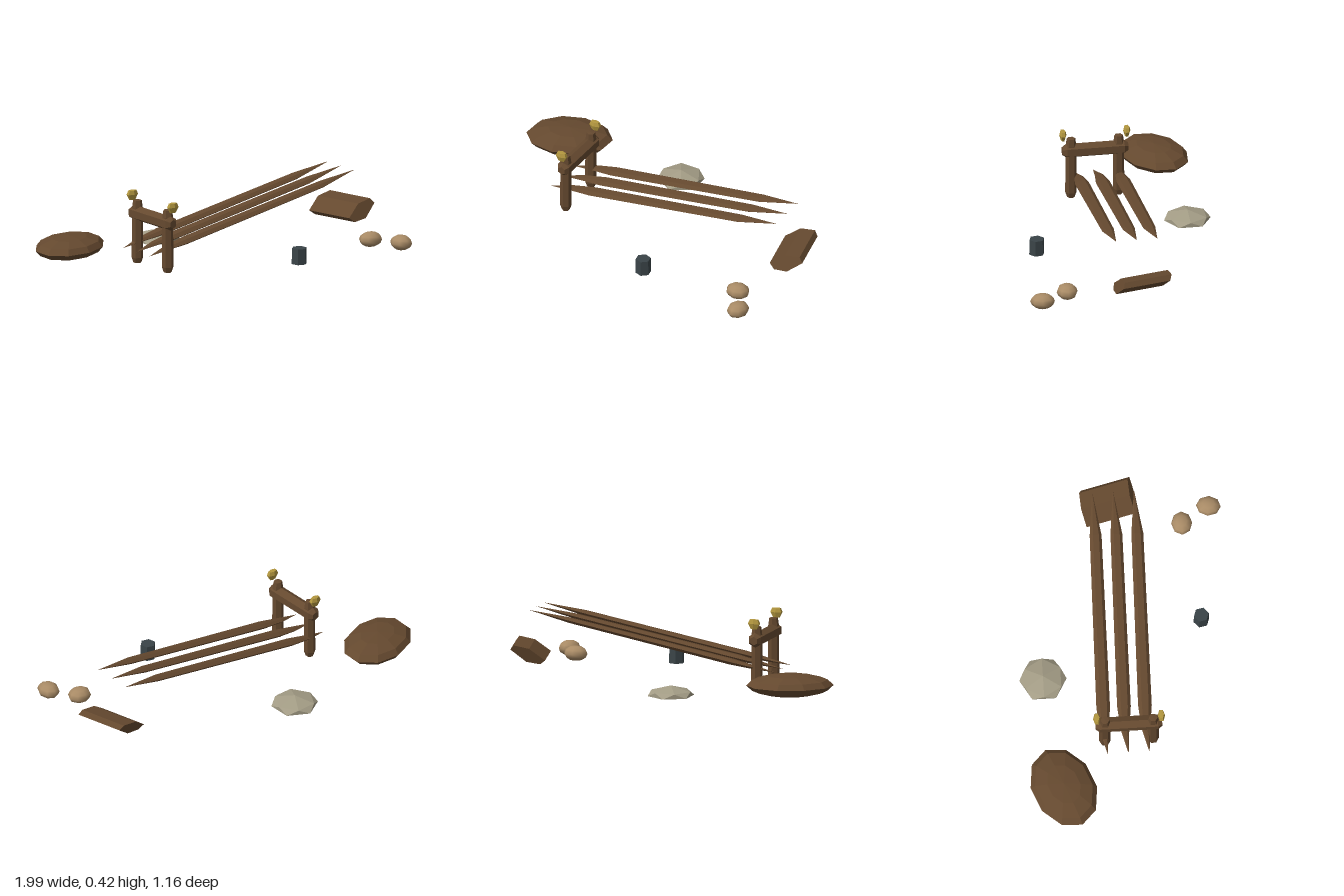
import * as THREE from 'three';
import { ConvexGeometry } from 'three/addons/geometries/ConvexGeometry.js';

function material(name, color, flat = false) {
  const m = new THREE.MeshStandardMaterial({ color, flatShading: flat });
  m.name = name;
  return m;
}

const lathe = (points, sides) =>
  new THREE.LatheGeometry(points.map(([r, y]) => new THREE.Vector2(r, y)), sides);

// Moves every vertex by a rule, then refreshes the normals
function warp(geometry, rule) {
  const pos = geometry.attributes.position;
  const v = new THREE.Vector3();
  for (let i = 0; i < pos.count; i++) {
    rule(v.fromBufferAttribute(pos, i));
    pos.setXYZ(i, v.x, v.y, v.z);
  }
  geometry.computeVertexNormals();
  return geometry;
}

export function createModel() {
  const model = new THREE.Group();
  model.name = 'woodenRampCamp';

  const wood = material('wood', 0x65492f, true);
  const smoothWood = wood;
  const brass = material('brass', 0xb3973f, true);
  const greyStone = material('greyStone', 0xa39c85, true);
  const tanStone = material('tanStone', 0xa98b66);
  const iron = material('iron', 0x3a4448, true);

  function add(name, geometry, mat, x = 0, y = 0, z = 0) {
    const mesh = new THREE.Mesh(geometry, mat);
    mesh.name = name;
    mesh.position.set(x, y, z);
    model.add(mesh);
    return mesh;
  }

  // Two upright posts
  const postX = -0.485;
  const postShape = lathe([
    [0, 0.015], [0.022, 0.02], [0.032, 0.05], [0.03, 0.33], [0.024, 0.372], [0, 0.374],
  ], 6);
  for (const z of [0.127, -0.138]) add('post', postShape, wood, postX, 0, z);

  // Crossbeam between the posts
  const beamShape = lathe([
    [0, -0.183], [0.024, -0.183], [0.041, -0.16], [0.041, 0.16], [0.024, 0.183], [0, 0.183],
  ], 6);
  beamShape.rotateX(Math.PI / 2);
  add('crossbeam', beamShape, wood, postX, 0.3, -0.007);

  // Brass caps floating at the beam ends
  const capShape = lathe([
    [0, -0.028], [0.02, -0.026], [0.037, 0.005], [0.027, 0.027], [0, 0.028],
  ], 6);
  capShape.scale(1, 1, 0.55);
  for (const z of [0.172, -0.183]) add('brassCap', capShape, brass, postX, 0.392, z);

  // Three sloping planks, pointed at both ends
  const plankShape = lathe([
    [0, -0.733], [0.024, -0.6], [0.038, -0.47], [0.033, 0.49], [0, 0.733],
  ], 6);
  plankShape.rotateZ(-Math.PI / 2);
  warp(plankShape, (v) => {
    if (Math.abs(v.x) < 0.7) v.z += 0.016 * v.x - 0.003;
    v.y *= 0.48;
  });
  plankShape.rotateX(0.13);
  plankShape.rotateZ(Math.atan2(0.252, 1.445));
  for (const z of [-0.128, -0.014, 0.101]) add('plank', plankShape, wood, 0.127, 0.246, z);

  // Skewed timber block beyond the raised end
  const section = new THREE.Shape([
    [-0.1, 0.103], [-0.01, 0.167], [0.08, 0.182], [0.1, 0.155], [0.01, 0.087], [-0.07, 0.078],
  ].map(([x, y]) => new THREE.Vector2(x, y)));
  const block = new THREE.ExtrudeGeometry(section, { depth: 0.27, bevelEnabled: false });
  warp(block, (v) => {
    v.z += -0.175 - 0.4 * (v.y - 0.13);
    v.x += 0.872 + 0.24 * (v.z + 0.04);
  });
  add('timberBlock', block, wood);

  // Large flattened wooden mound
  const mound = new THREE.SphereGeometry(1, 10, 6);
  mound.scale(0.24, 0.061, 0.175);
  const moundMesh = add('mound', mound, smoothWood, -0.767, 0.109, -0.38);
  moundMesh.rotation.y = 0.38;

  // Low grey stone: hexagonal base, turned upper ring and a peak
  const corners = [new THREE.Vector3(0, 0.076, 0)];
  for (let i = 0; i < 6; i++) {
    const a = i * Math.PI / 3;
    corners.push(new THREE.Vector3(0.13 * Math.sin(a), 0.02, 0.13 * Math.cos(a)));
    corners.push(new THREE.Vector3(0.113 * Math.cos(a), 0.046, 0.113 * Math.sin(a)));
  }
  add('greyStone', new ConvexGeometry(corners), greyStone, -0.1, 0, -0.455);

  // Small dark iron stub
  const stub = new THREE.CylinderGeometry(0.042, 0.044, 0.088, 6);
  stub.rotateY(0.2);
  add('ironStub', stub, iron, 0.194, 0.063, 0.432);

  // Pair of rounded tan stones
  const pebble = new THREE.SphereGeometry(1, 8, 6);
  pebble.scale(0.068, 0.042, 0.058);
  const pebbles = [[0.755, 0.047, 0.358, 0], [0.848, 0.044, 0.51, 1.45]];
  for (const [x, y, z, turn] of pebbles) {
    add('pebble', pebble, tanStone, x, y, z).rotation.y = turn;
  }

  return model;
}
